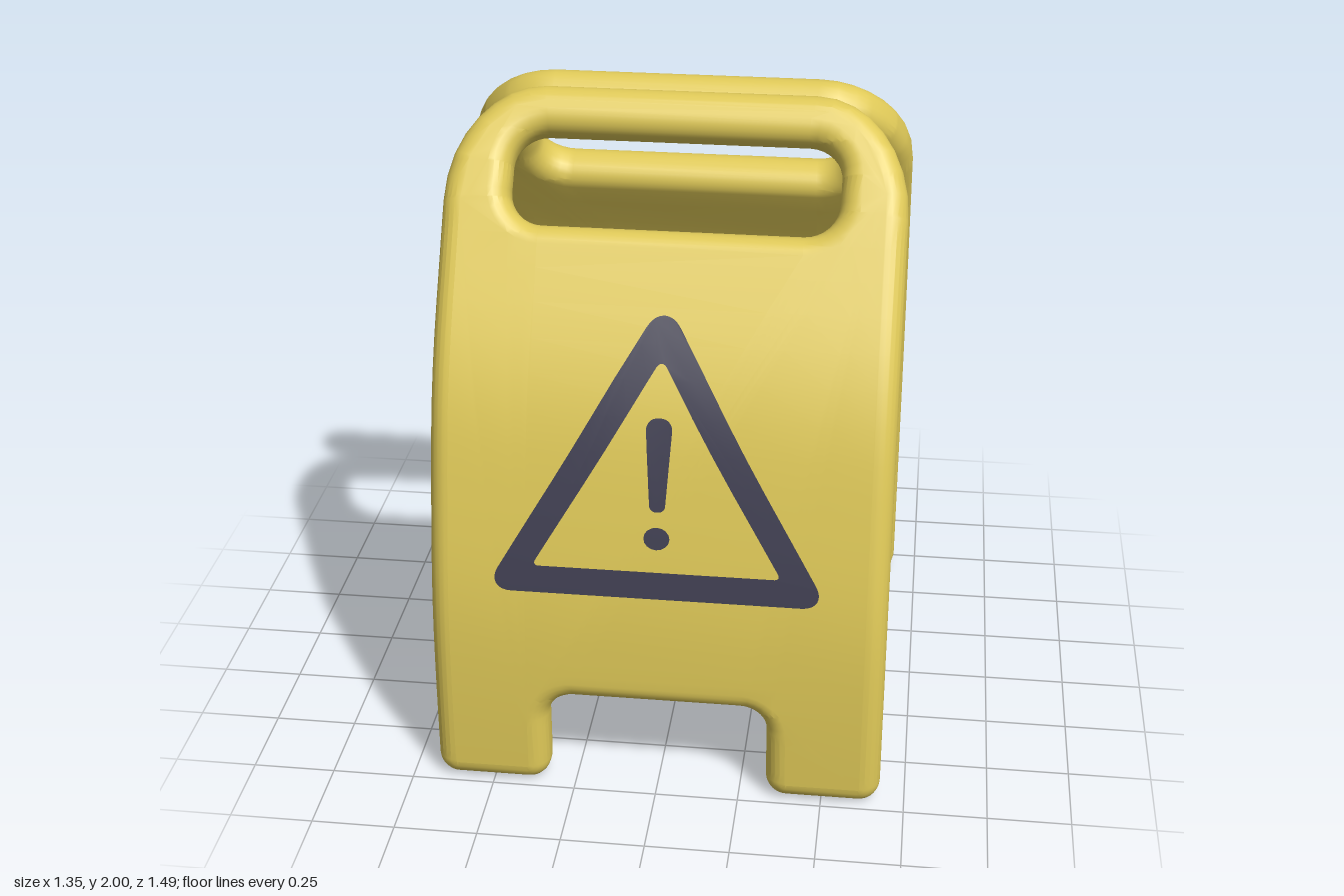
import * as THREE from 'three';
import { mergeVertices } from 'three/addons/utils/BufferGeometryUtils.js';

const THICK = 0.14, BEVEL = 0.06, LENGTH = 2.15, BAND = 0.1;

// Side profile of a panel's mid-surface, foot to top, as [z, y]
const profile = new THREE.CatmullRomCurve3([
  [0.67, 0], [0.672, 0.3], [0.657, 0.6], [0.603, 0.9], [0.53, 1.19], [0.45, 1.37],
  [0.35, 1.54], [0.272, 1.67], [0.195, 1.785], [0.075, 1.93], [0.03, 1.983],
].map(([z, y]) => new THREE.Vector3(0, y, z)));
profile.arcLengthDivisions = 600;

// Closed path with rounded corners; each point is [x, y, radiusIn, radiusOut]
function roundedPath(points, path = new THREE.Shape()) {
  const n = points.length;
  points.forEach(([x, y, rIn, rOut = rIn], i) => {
    const p = new THREE.Vector2(x, y);
    const toward = (q, r) => new THREE.Vector2(q[0], q[1]).sub(p).setLength(r).add(p);
    const a = toward(points[(i + n - 1) % n], rIn);
    const b = toward(points[(i + 1) % n], rOut);
    const c1 = a.clone().lerp(p, 0.55), c2 = b.clone().lerp(p, 0.55);
    if (i === 0) path.moveTo(a.x, a.y); else path.lineTo(a.x, a.y);
    path.bezierCurveTo(c1.x, c1.y, c2.x, c2.y, b.x, b.y);
  });
  path.closePath();
  return path;
}

// Keep the part of a polygon where sign * (y - level) >= 0
function clip(poly, level, sign) {
  const out = [];
  poly.forEach((p, i) => {
    const q = poly[(i + 1) % poly.length];
    const dp = sign * (p.y - level), dq = sign * (q.y - level);
    if (dp >= 0) out.push(p);
    if (dp * dq < 0) {
      const cut = p.clone().lerp(q, dp / (dp - dq));
      cut.y = level;
      out.push(cut);
    }
  });
  return out;
}

// Slice a flat geometry into horizontal bands, then bend it along the profile
function bend(source) {
  const flat = source.index ? source.toNonIndexed() : source;
  const pos = flat.attributes.position;
  const verts = [];
  for (let i = 0; i < pos.count; i += 3) {
    const tri = [0, 1, 2].map((k) => new THREE.Vector3().fromBufferAttribute(pos, i + k));
    const ys = tri.map((p) => p.y);
    const first = Math.floor(Math.min(...ys) / BAND), last = Math.floor(Math.max(...ys) / BAND);
    for (let b = first; b <= last; b++) {
      const poly = clip(clip(tri, b * BAND, 1), (b + 1) * BAND, -1);
      for (let k = 2; k < poly.length; k++) {
        for (const p of [poly[0], poly[k - 1], poly[k]]) verts.push(p.x, p.y, p.z);
      }
    }
  }
  for (let i = 0; i < verts.length; i += 3) {
    const u = THREE.MathUtils.clamp(verts[i + 1] / LENGTH, 0, 1);
    const offset = verts[i + 2];
    const c = profile.getPointAt(u), t = profile.getTangentAt(u);
    verts[i + 1] = c.y - t.z * offset;
    verts[i + 2] = c.z + t.y * offset;
  }
  const geometry = new THREE.BufferGeometry();
  geometry.setAttribute('position', new THREE.Float32BufferAttribute(verts, 3));
  const merged = mergeVertices(geometry, 1e-4);
  merged.computeVertexNormals();
  return merged;
}

// Board with two feet and a hand hole
function boardGeometry() {
  const shape = roundedPath([
    [-0.675, 0, 0.065], [-0.33, 0, 0.065], [-0.33, 0.31, 0.08], [0.33, 0.31, 0.08],
    [0.33, 0, 0.065], [0.675, 0, 0.065],
    [0.675, LENGTH, 0.36, 0.28], [-0.675, LENGTH, 0.28, 0.36],
  ]);
  shape.holes.push(roundedPath([
    [-0.48, 1.73, 0.1], [-0.48, 2.003, 0.1], [0.48, 2.003, 0.1], [0.48, 1.73, 0.1],
  ], new THREE.Path()));
  const depth = THICK - 2 * BEVEL;
  const geometry = new THREE.ExtrudeGeometry(shape, {
    depth, bevelEnabled: true, bevelThickness: BEVEL, bevelSize: BEVEL,
    bevelOffset: -BEVEL, bevelSegments: 6, curveSegments: 8,
  });
  return bend(geometry.translate(0, 0, -depth / 2));
}

// Triangular warning sign with an exclamation mark
function signGeometry() {
  const triangle = roundedPath([[-0.506, 0.667, 0.08], [0.506, 0.667, 0.08], [0, 1.53, 0.1]]);
  triangle.holes.push(roundedPath([
    [-0.365, 0.748, 0.02], [0, 1.362, 0.03], [0.365, 0.748, 0.02],
  ], new THREE.Path()));
  const bar = roundedPath([
    [-0.022, 0.93, 0.018], [0.022, 0.93, 0.018], [0.04, 1.2, 0.035], [-0.04, 1.2, 0.035],
  ]);
  const dot = new THREE.Shape().absellipse(0, 0.85, 0.038, 0.034, 0, Math.PI * 2);
  const geometry = new THREE.ShapeGeometry([triangle, bar, dot], 8);
  return bend(geometry.translate(0, 0, THICK / 2 + 0.003));
}

export function createModel() {
  const yellow = new THREE.MeshStandardMaterial({ color: 0xdfc958 });
  yellow.name = 'yellow plastic';
  const dark = new THREE.MeshStandardMaterial({ color: 0x403f52 });
  dark.name = 'dark print';

  const board = boardGeometry(), sign = signGeometry();
  const model = new THREE.Group();
  model.name = 'foldingFloorSign';

  // Front and back panels lean together at the top
  ['front', 'back'].forEach((side, i) => {
    const panel = new THREE.Group();
    panel.name = `${side}Panel`;
    const boardMesh = new THREE.Mesh(board, yellow);
    boardMesh.name = `${side}Board`;
    const signMesh = new THREE.Mesh(sign, dark);
    signMesh.name = `${side}WarningTriangle`;
    panel.add(boardMesh, signMesh);
    panel.rotation.y = i * Math.PI;
    model.add(panel);
  });
  return model;
}
